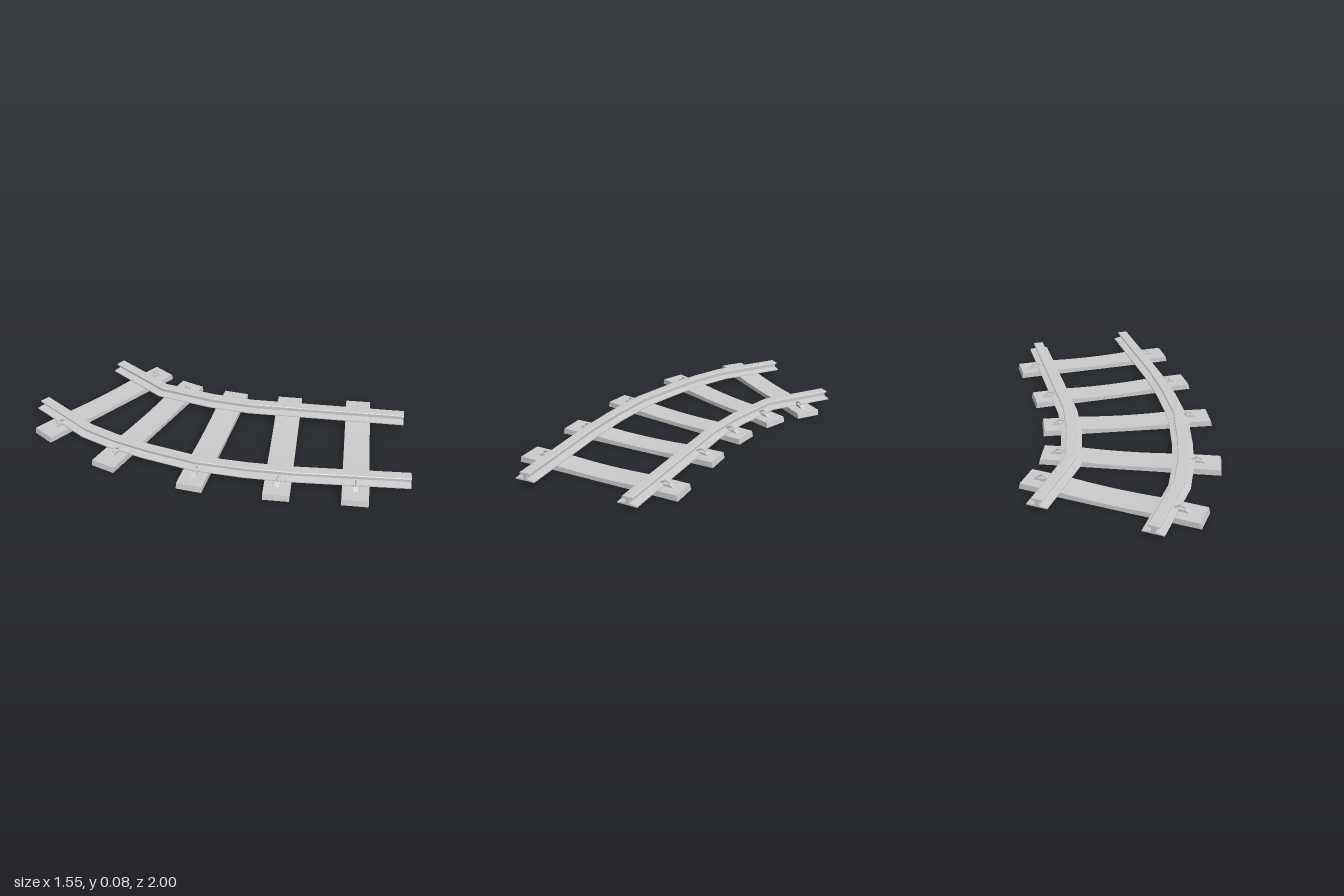
import * as THREE from 'three';

const grey = new THREE.MeshStandardMaterial({ color: 0xcccccc, flatShading: true });
const smoothGrey = new THREE.MeshStandardMaterial({ color: 0xcccccc });

// I-shaped rail section: [sideways, up], counter-clockwise
const railSection = [
  [-0.055, 0.031], [0.055, 0.031], [0.055, 0.036], [0.011, 0.042], [0.011, 0.062],
  [0.029, 0.066], [0.029, 0.072], [0.025, 0.075], [-0.025, 0.075], [-0.029, 0.072],
  [-0.029, 0.066], [-0.011, 0.062], [-0.011, 0.042], [-0.055, 0.036],
];

// Rail centre lines in plan: [x, z]
const outerPath = [[-0.595, -1], [-0.595, -0.6], [-0.555, -0.41], [-0.49, -0.21],
  [-0.385, 0.05], [-0.245, 0.28], [-0.1, 0.485], [0.285, 0.965]];
const innerPath = [[-0.02, -1], [-0.02, -0.6], [0.1, -0.31], [0.21, -0.11], [0.73, 0.607]];

// Sleepers in plan: [x, z, turn in degrees]
const sleepers = [[-0.315, -0.78, 0], [-0.28, -0.43, 14.5], [-0.127, -0.068, 28.2],
  [0.09, 0.256, 36.3], [0.336, 0.575, 36.4]];

// Sweep a section along a plan polyline with mitred corners and closed ends
function sweep(path, section) {
  const pts = path.map(([x, z]) => new THREE.Vector2(x, z));
  const n = section.length;
  const rings = pts.map((p, i) => {
    const before = pts[i].clone().sub(pts[Math.max(i - 1, 0)]).normalize();
    const after = pts[Math.min(i + 1, pts.length - 1)].clone().sub(pts[i]).normalize();
    const dir = before.clone().add(after).normalize();
    const mitre = 1 / Math.max(dir.dot(before), dir.dot(after));
    return section.map(([u, y]) => [p.x + dir.y * u * mitre, y, p.y - dir.x * u * mitre]);
  });
  const pos = [];
  const tri = (a, b, c) => pos.push(...a, ...b, ...c);
  for (let i = 0; i < rings.length - 1; i++) {
    for (let j = 0; j < n; j++) {
      const k = (j + 1) % n;
      tri(rings[i][j], rings[i][k], rings[i + 1][k]);
      tri(rings[i][j], rings[i + 1][k], rings[i + 1][j]);
    }
  }
  const outline = section.map(([u, y]) => new THREE.Vector2(u, y));
  const first = rings[0], last = rings[rings.length - 1];
  for (const [a, b, c] of THREE.ShapeUtils.triangulateShape(outline, [])) {
    tri(last[a], last[b], last[c]);
    tri(first[a], first[c], first[b]);
  }
  const geo = new THREE.BufferGeometry();
  geo.setAttribute('position', new THREE.Float32BufferAttribute(pos, 3));
  geo.computeVertexNormals();
  return geo;
}

// Sleeper: slanted ends and a top that dips gently between the rails
function sleeperGeometry() {
  const s = new THREE.Shape();
  s.moveTo(-0.465, 0);
  s.lineTo(0.465, 0);
  s.lineTo(0.458, 0.031);
  s.lineTo(0.26, 0.031);
  s.quadraticCurveTo(0, 0.014, -0.26, 0.031);
  s.lineTo(-0.458, 0.031);
  s.closePath();
  const geo = new THREE.ExtrudeGeometry(s, { depth: 0.14, bevelEnabled: false, curveSegments: 10 });
  return geo.translate(0, 0, -0.07);
}

// Wedge that seats the clip, low on its outer end
function clipSeatGeometry() {
  const s = new THREE.Shape();
  s.moveTo(-0.015, 0.03);
  s.lineTo(0.045, 0.03);
  s.lineTo(0.02, 0.045);
  s.lineTo(-0.015, 0.045);
  s.closePath();
  return new THREE.ExtrudeGeometry(s, { depth: 0.026, bevelEnabled: false }).translate(0, 0, -0.013);
}

// Bent spring bar reaching from the seat onto the rail foot
function clipBarGeometry() {
  const curve = new THREE.CatmullRomCurve3([
    [0.016, 0.043, 0], [0.012, 0.054, 0], [-0.004, 0.059, 0], [-0.018, 0.052, 0], [-0.034, 0.042, 0],
  ].map((p) => new THREE.Vector3(...p)));
  return new THREE.TubeGeometry(curve, 10, 0.005, 6, false);
}

export function createModel() {
  const model = new THREE.Group();
  model.name = 'curvedTrack';
  const add = (parent, name, geo, mat = grey) => {
    const mesh = new THREE.Mesh(geo, mat);
    mesh.name = name;
    parent.add(mesh);
    return mesh;
  };

  // Rails
  add(model, 'outerRail', sweep(outerPath, railSection));
  add(model, 'innerRail', sweep(innerPath, railSection));

  // Sleepers, each with a clip outside either rail
  const plank = sleeperGeometry(), seat = clipSeatGeometry(), bar = clipBarGeometry();
  sleepers.forEach(([x, z, turn], i) => {
    const group = new THREE.Group();
    group.name = `sleeperAssembly${i + 1}`;
    group.position.set(x, 0, z);
    group.rotation.y = THREE.MathUtils.degToRad(turn);
    add(group, 'sleeper', plank);
    for (const side of [-1, 1]) {
      const clip = new THREE.Group();
      clip.name = side < 0 ? 'outerClip' : 'innerClip';
      clip.position.x = side < 0 ? -0.345 : 0.368;
      clip.rotation.y = side < 0 ? Math.PI : 0;
      add(clip, 'clipSeat', seat);
      add(clip, 'clipBar', bar, smoothGrey);
      group.add(clip);
    }
    model.add(group);
  });
  return model;
}
